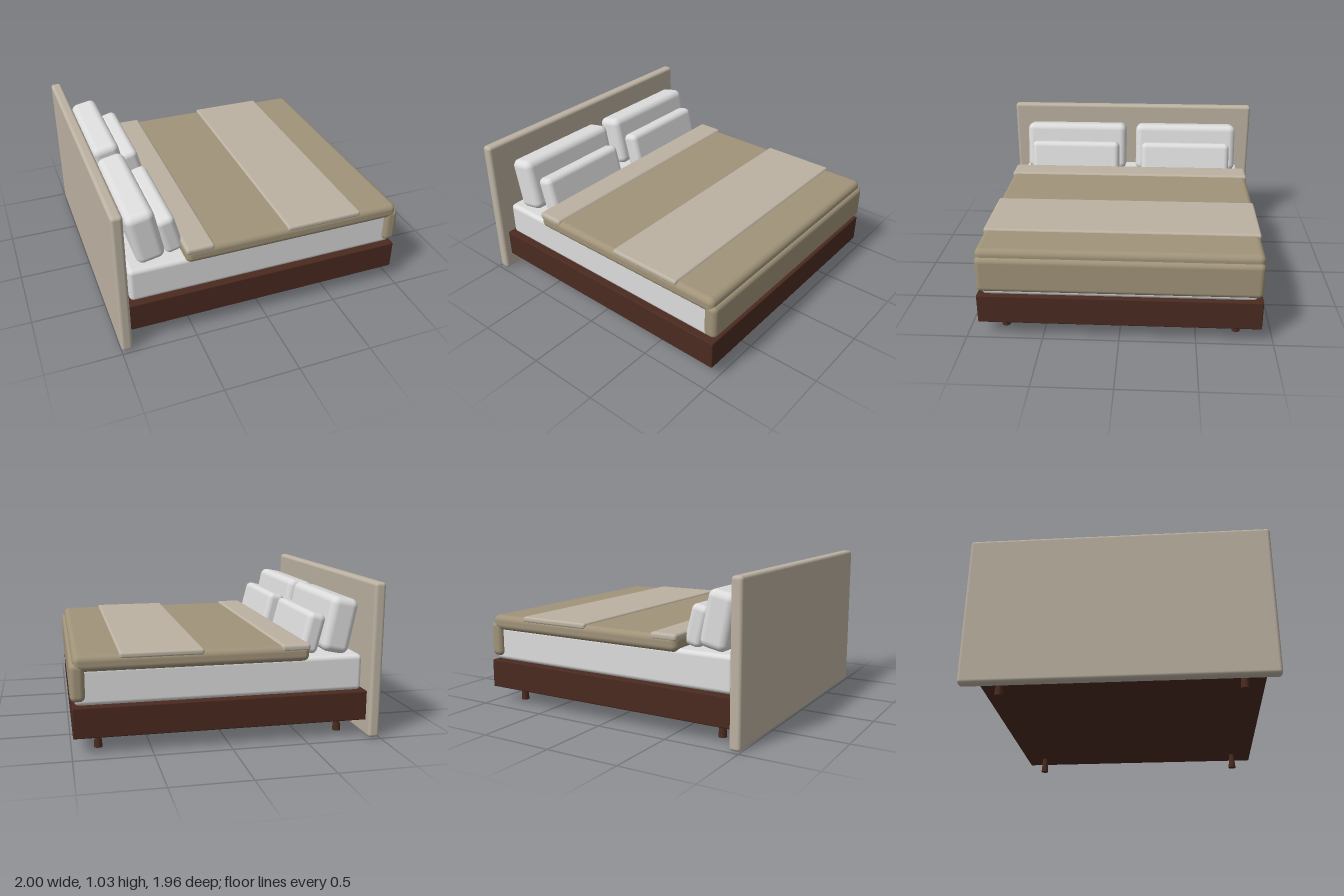
import * as THREE from 'three';
import { RoundedBoxGeometry } from 'three/addons/geometries/RoundedBoxGeometry.js';

const material = (name, color) => {
  const m = new THREE.MeshStandardMaterial({ color });
  m.name = name;
  return m;
};

export function createModel() {
  const bed = new THREE.Group();
  bed.name = 'bed';

  const wood = material('dark wood', 0x4a2a20);
  const linen = material('white linen', 0xdcdcdc);
  const beige = material('light beige fabric', 0xbcb2a2);
  const taupe = material('taupe fabric', 0xa09379);

  const add = (name, geometry, mat, x, y, z) => {
    const mesh = new THREE.Mesh(geometry, mat);
    mesh.name = name;
    mesh.position.set(x, y, z);
    bed.add(mesh);
    return mesh;
  };

  // Rounded block spanning x0..x1 and y0..y1, centred on z with half depth hz
  const block = (name, mat, x0, x1, y0, y1, hz, radius) =>
    add(name, new RoundedBoxGeometry(x1 - x0, y1 - y0, hz * 2, 4, radius), mat,
      (x0 + x1) / 2, (y0 + y1) / 2, 0);

  // Base, headboard and mattress
  block('headboard', beige, -1, -0.925, 0, 1.03, 0.98, 0.022);
  block('bedFrame', wood, -0.935, 0.99, 0.108, 0.305, 0.92, 0.008);
  block('mattress', linen, -0.9, 0.975, 0.305, 0.545, 0.885, 0.03);

  // Bedding: cover, hanging end, folded edge and throw
  block('duvet', taupe, -0.53, 0.978, 0.523, 0.628, 0.915, 0.04);
  block('duvetFootDrop', taupe, 0.907, 1, 0.335, 0.578, 0.915, 0.035);
  block('duvetFold', beige, -0.53, -0.34, 0.592, 0.64, 0.916, 0.02);
  block('throw', beige, 0.165, 0.695, 0.6, 0.64, 0.916, 0.016);

  for (const side of [-1, 1]) {
    // Pillows leaning back towards the headboard
    const back = add('backPillow', new RoundedBoxGeometry(0.19, 0.37, 0.805, 6, 0.05),
      linen, -0.763, 0.732, side * 0.4425);
    back.rotation.z = 0.2;
    const front = add('frontPillow', new RoundedBoxGeometry(0.125, 0.272, 0.7, 6, 0.04),
      linen, -0.593, 0.677, side * 0.44);
    front.rotation.z = 0.25;

    // Round legs flaring towards the floor
    for (const x of [-0.782, 0.83]) {
      add('leg', new THREE.CylinderGeometry(0.018, 0.028, 0.112, 24), wood, x, 0.056, side * 0.77);
    }
  }
  return bed;
}
